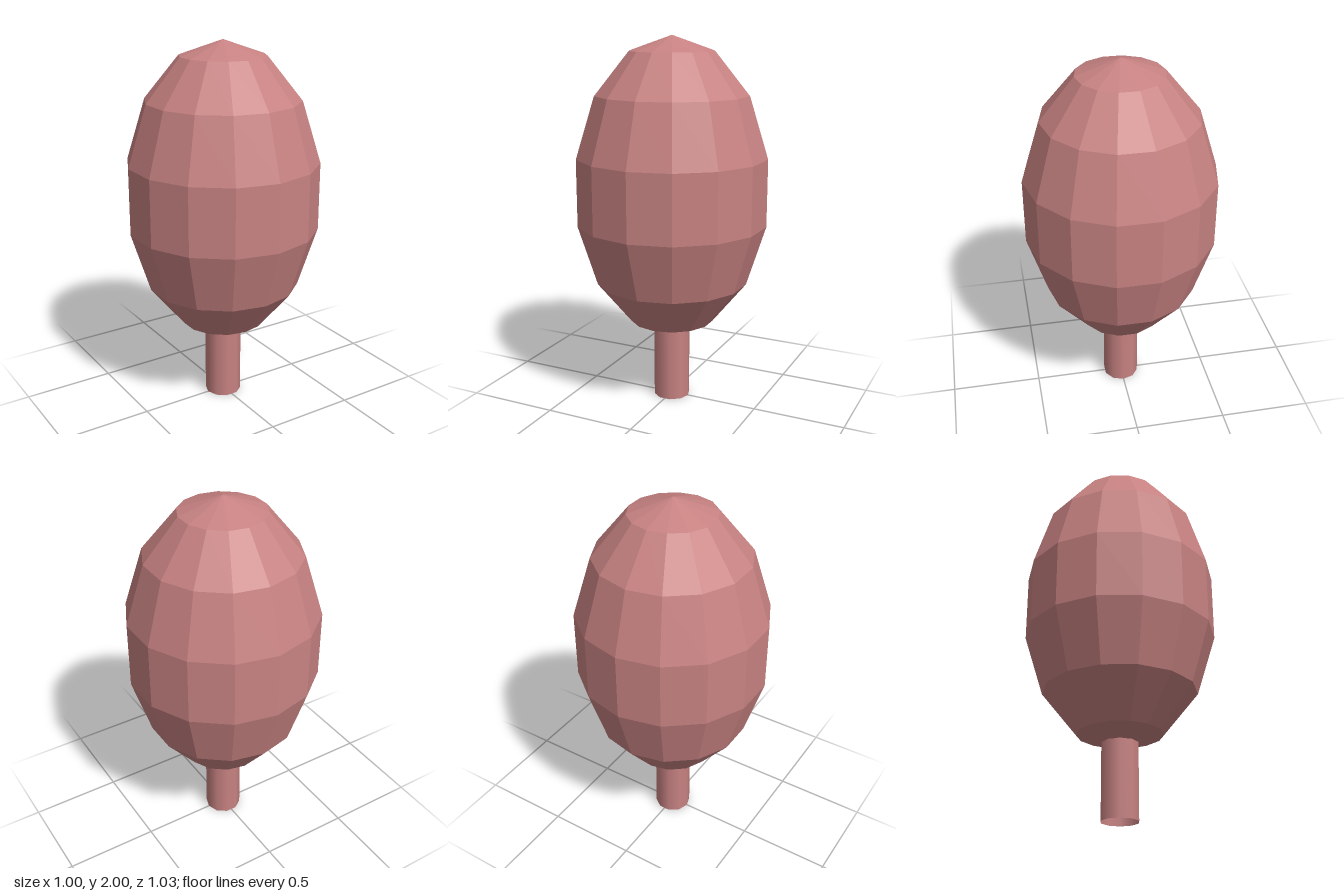
import * as THREE from 'three';

export function createModel() {
  const model = new THREE.Group();
  model.name = 'tree';
  const color = 0xc88282;

  // Faceted egg-shaped crown: 14 sides, 7 bands, corners on the z axis
  const crownGeometry = new THREE.SphereGeometry(0.528, 14, 7);
  crownGeometry.rotateY(Math.PI / 2);
  crownGeometry.scale(1, 0.815 / 0.528, 1);
  const crown = new THREE.Mesh(
    crownGeometry,
    new THREE.MeshStandardMaterial({ color, flatShading: true })
  );
  crown.name = 'crown';
  crown.position.y = 1.185;
  model.add(crown);

  // Smooth ten-sided trunk, open at both ends, corners on the x axis
  const trunkHeight = 0.41;
  const trunkGeometry = new THREE.CylinderGeometry(0.1, 0.1, trunkHeight, 10, 1, true);
  trunkGeometry.rotateY(Math.PI / 2);
  const trunk = new THREE.Mesh(
    trunkGeometry,
    new THREE.MeshStandardMaterial({ color, side: THREE.DoubleSide })
  );
  trunk.name = 'trunk';
  trunk.position.y = trunkHeight / 2;
  model.add(trunk);

  return model;
}
